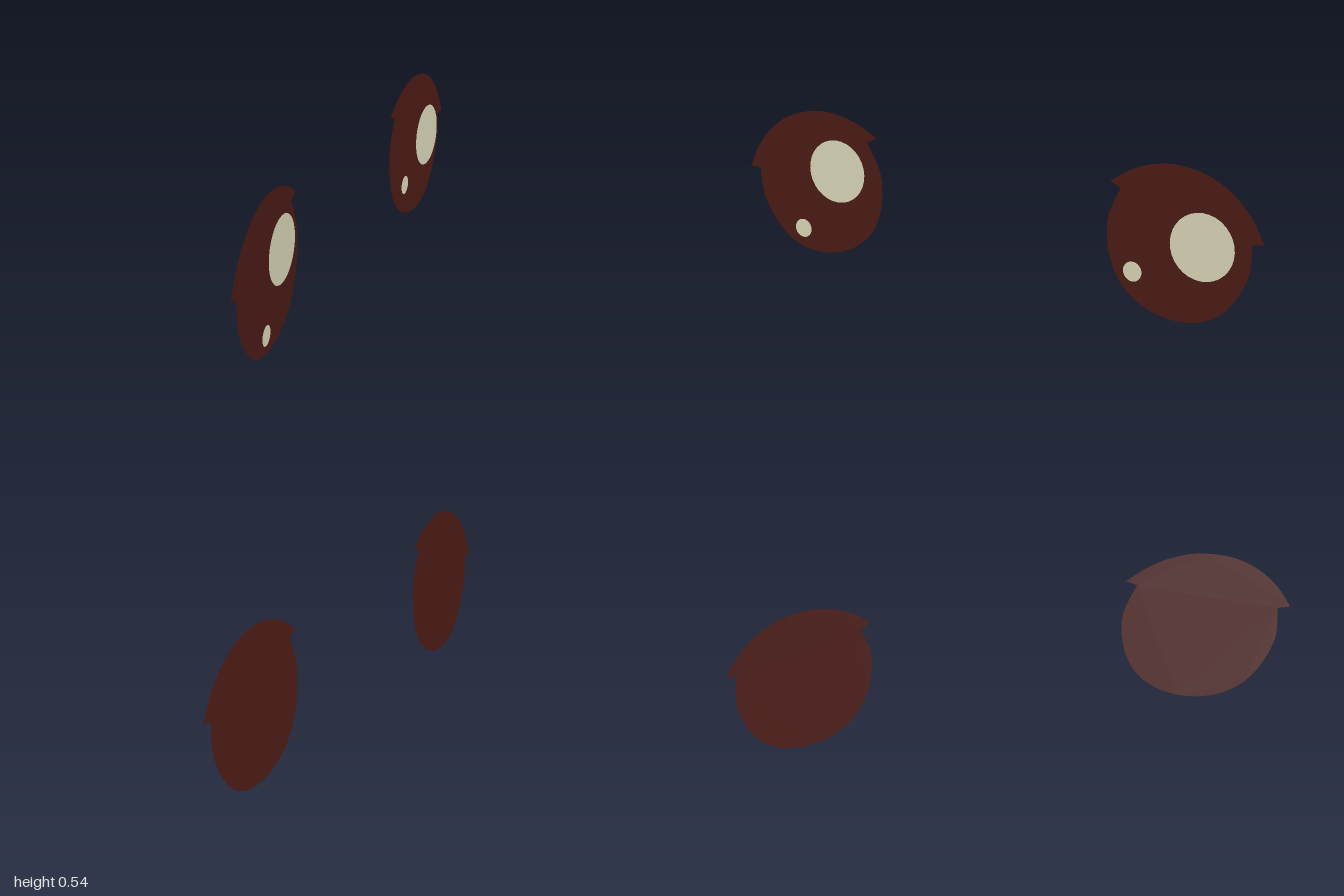
import * as THREE from 'three';

const brown = new THREE.MeshStandardMaterial({ color: 0x511d18, side: THREE.DoubleSide });
const cream = new THREE.MeshStandardMaterial({ color: 0xe9e6c5, side: THREE.DoubleSide });

// Eye outline around its centre: a round lower arc and an upper lid arc ending in lash tips
const lowerArc = [
  [-0.241, 0.021], [-0.23, -0.08], [-0.18, -0.17], [-0.118, -0.23], [-0.05, -0.259], [0.02, -0.266],
  [0.10, -0.252], [0.176, -0.214], [0.235, -0.155], [0.267, -0.08], [0.277, 0], [0.267, 0.075], [0.22, 0.166],
];
const upperArc = [
  [0.257, 0.187], [0.19, 0.225], [0.123, 0.249], [0.043, 0.26], [-0.037, 0.251],
  [-0.118, 0.222], [-0.19, 0.17], [-0.246, 0.10], [-0.283, 0.021],
];
const smooth = (arc) => new THREE.SplineCurve(arc.map((p) => new THREE.Vector2(...p))).getPoints(32);
const outline = [...smooth(lowerArc), ...smooth(upperArc)];

// Stand a flat geometry up facing +x, leaning it by the given slopes
function leaned(geometry, { slopeU, slopeV }, lift) {
  const p = geometry.attributes.position;
  for (let i = 0; i < p.count; i++) {
    p.setZ(i, slopeU * p.getX(i) + slopeV * p.getY(i) + lift);
  }
  geometry.rotateY(Math.PI / 2);
  geometry.computeVertexNormals();
  return geometry;
}

function createEye(name, o) {
  const eye = new THREE.Group();
  eye.name = name;
  eye.position.set(...o.position);

  // Dark iris with lashes
  const origin = new THREE.Vector2();
  const points = outline.map((p) => new THREE.Vector2(p.x * o.mirror, p.y).rotateAround(origin, o.turn));
  const iris = new THREE.Mesh(leaned(new THREE.ShapeGeometry(new THREE.Shape(points)), o, 0), brown);
  iris.name = 'iris';
  eye.add(iris);

  // Light spots floating just in front
  const spots = [
    ['largeHighlight', o.large, 0.114, 0.015],
    ['smallHighlight', o.small, 0.034, 0.021],
  ];
  for (const [spotName, [u, v], radius, lift] of spots) {
    const disc = new THREE.CircleGeometry(radius, 32).translate(u, v, 0);
    const spot = new THREE.Mesh(leaned(disc, o, lift), cream);
    spot.name = spotName;
    eye.add(spot);
  }
  return eye;
}

export function createModel() {
  const model = new THREE.Group();
  model.name = 'eyes';
  model.add(
    createEye('frontEye', {
      position: [-0.003, 0.282, 0.717], mirror: 1, turn: 0,
      slopeU: -0.035, slopeV: 0.018, large: [0.10, 0.05], small: [-0.048, -0.178],
    }),
    createEye('backEye', {
      position: [-0.009, 0.267, -0.719], mirror: -1, turn: 0.06,
      slopeU: 0.026, slopeV: 0.003, large: [0.074, 0.003], small: [-0.17, -0.117],
    }),
  );
  return model;
}
